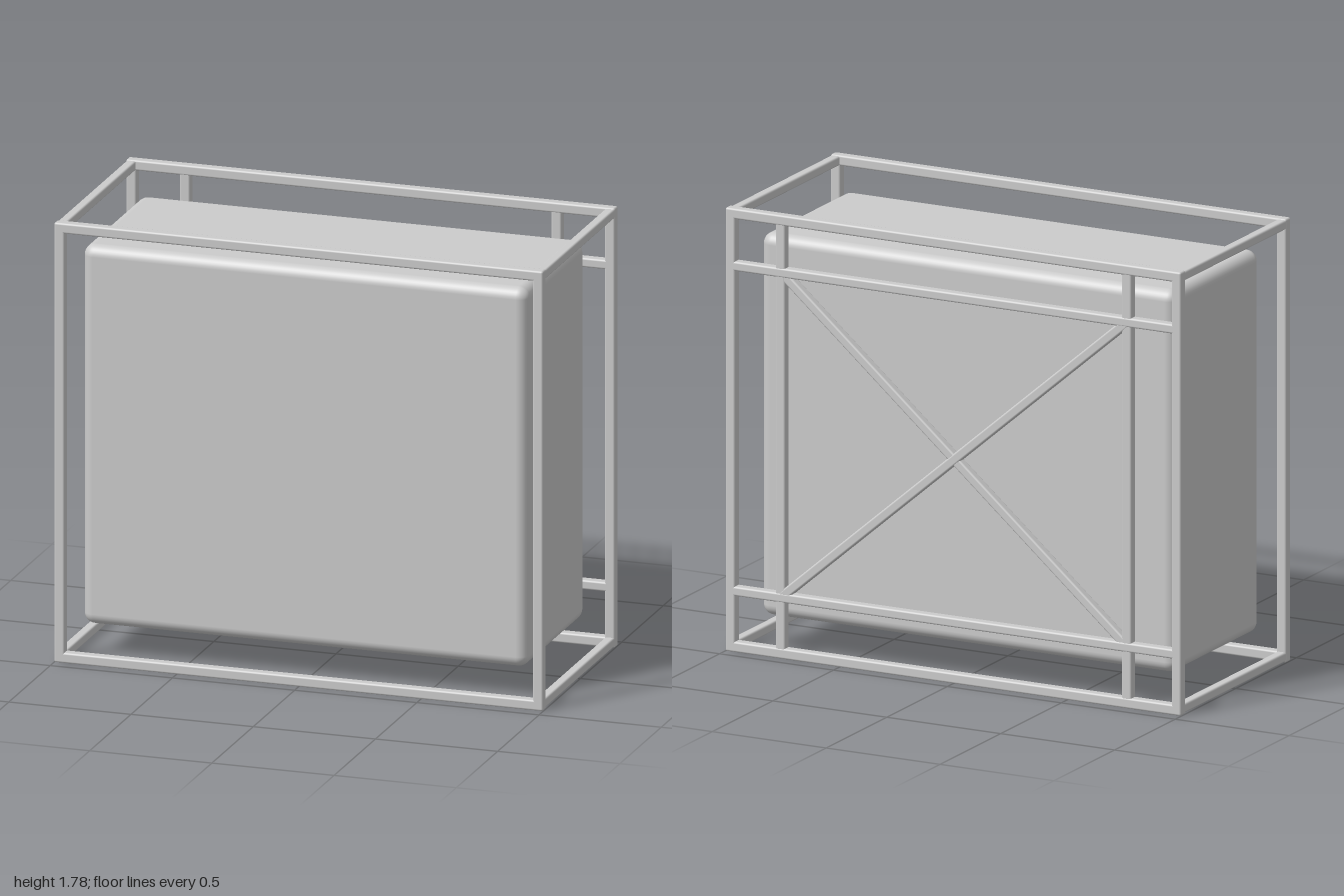
import * as THREE from 'three';
import { RoundedBoxGeometry } from 'three/addons/geometries/RoundedBoxGeometry.js';

const W = 2, H = 1.785, D = 0.91; // outer size of the cage
const T = 0.042;                  // bar thickness

export function createModel() {
  const model = new THREE.Group();
  const material = new THREE.MeshStandardMaterial({ color: 0xcccccc });

  const addBlock = (parent, name, size, position, radius, segments = 2) => {
    const mesh = new THREE.Mesh(new RoundedBoxGeometry(...size, segments, radius), material);
    mesh.name = name;
    mesh.position.set(...position);
    parent.add(mesh);
    return mesh;
  };
  const addBar = (parent, name, size, position) => addBlock(parent, name, size, position, 0.008);

  // Rounded block held inside the cage
  addBlock(model, 'innerBlock', [1.82, 1.54, 0.712], [-0.01, 0.902, 0], 0.045, 4);

  // Twelve edges of the cage
  const cage = new THREE.Group();
  cage.name = 'cage';
  model.add(cage);
  const ex = (W - T) / 2, ez = (D - T) / 2;
  for (const z of [-ez, ez]) {
    for (const x of [-ex, ex]) addBar(cage, 'cornerPost', [T, H, T], [x, H / 2, z]);
    for (const y of [T / 2, H - T / 2]) addBar(cage, 'longRail', [W, T, T], [0, y, z]);
  }
  for (const x of [-ex, ex])
    for (const y of [T / 2 + 0.002, H - T / 2 - 0.002])
      addBar(cage, 'sideRail', [T - 0.003, T - 0.004, D - T], [x, y, 0]);

  // Back bracing: two uprights, two rails and a diagonal cross
  const bracing = new THREE.Group();
  bracing.name = 'backBracing';
  model.add(bracing);
  const bx = 0.76, low = 0.245, high = 1.553;
  for (const x of [-bx, bx])
    addBar(bracing, 'backUpright', [T, H - T, T - 0.004], [x, H / 2, -ez]);
  for (const y of [low, high])
    addBar(bracing, 'backRail', [W - T, T - 0.004, T], [0, y, -ez]);
  const length = Math.hypot(2 * bx, high - low);
  const angle = Math.atan2(high - low, 2 * bx);
  for (const s of [-1, 1]) {
    const brace = addBar(bracing, 'diagonalBrace', [length, T - 0.004, T - 0.004],
      [0, (low + high) / 2, -ez + s * 0.001]);
    brace.rotation.z = s * angle;
  }
  return model;
}
